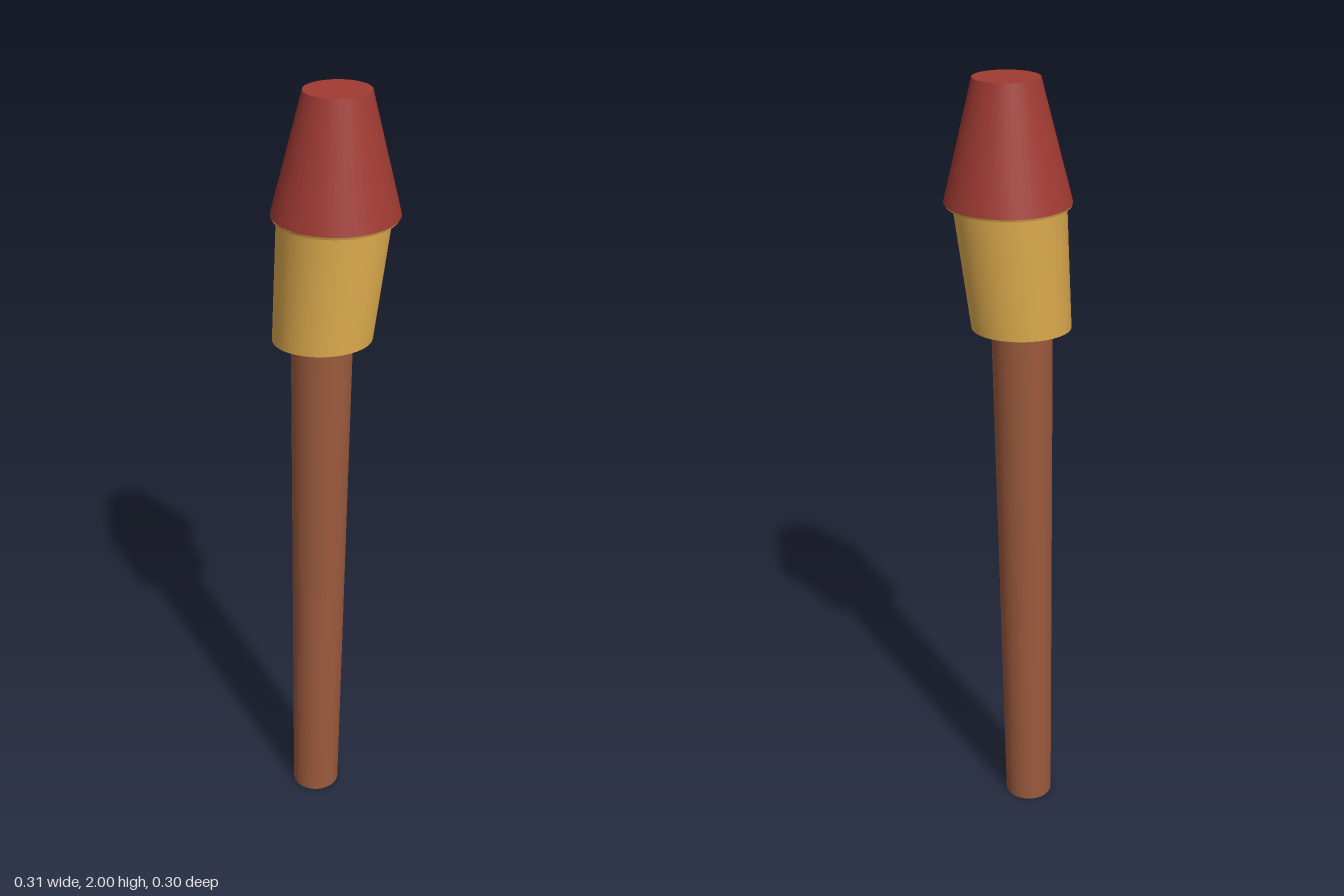
import * as THREE from 'three';

const SEGMENTS = 40;

// Tapered, slightly leaning round section. Each end is { y, x, z, rx, rz }.
function section(name, material, bottom, top) {
  const height = top.y - bottom.y;
  const geometry = new THREE.CylinderGeometry(top.rx, bottom.rx, height, SEGMENTS, 1);
  const p = geometry.attributes.position;
  for (let i = 0; i < p.count; i++) {
    const end = p.getY(i) > 0 ? top : bottom;
    p.setXYZ(i, end.x + p.getX(i), end.y, end.z + p.getZ(i) * end.rz / end.rx);
  }
  const mesh = new THREE.Mesh(geometry, material);
  mesh.name = name;
  return mesh;
}

function flat(name, color) {
  const material = new THREE.MeshStandardMaterial({ color });
  material.name = name;
  return material;
}

export function createModel() {
  const wood = flat('brown wood', 0x9c5a3d);
  const gold = flat('golden yellow', 0xdfac4e);
  const red = flat('dark red', 0xa03a33);

  const model = new THREE.Group();
  model.name = 'stick with capped head';
  model.add(
    // long stick, narrowing and leaning towards the foot
    section('stick', wood,
      { y: 0, x: -0.058, z: 0, rx: 0.063, rz: 0.062 },
      { y: 1.4, x: -0.033, z: 0.001, rx: 0.075, rz: 0.073 }),
    // flared collar
    section('collar', gold,
      { y: 1.4, x: -0.032, z: 0.002, rx: 0.122, rz: 0.105 },
      { y: 1.707, x: -0.003, z: 0.002, rx: 0.135, rz: 0.135 }),
    // thin flange under the cap
    section('flange', gold,
      { y: 1.707, x: 0, z: 0, rx: 0.149, rz: 0.149 },
      { y: 1.713, x: 0, z: 0, rx: 0.151, rz: 0.151 }),
    // blunt conical cap
    section('cap', red,
      { y: 1.713, x: 0.001, z: -0.001, rx: 0.152, rz: 0.152 },
      { y: 2, x: 0.005, z: -0.002, rx: 0.079, rz: 0.076 })
  );
  return model;
}
